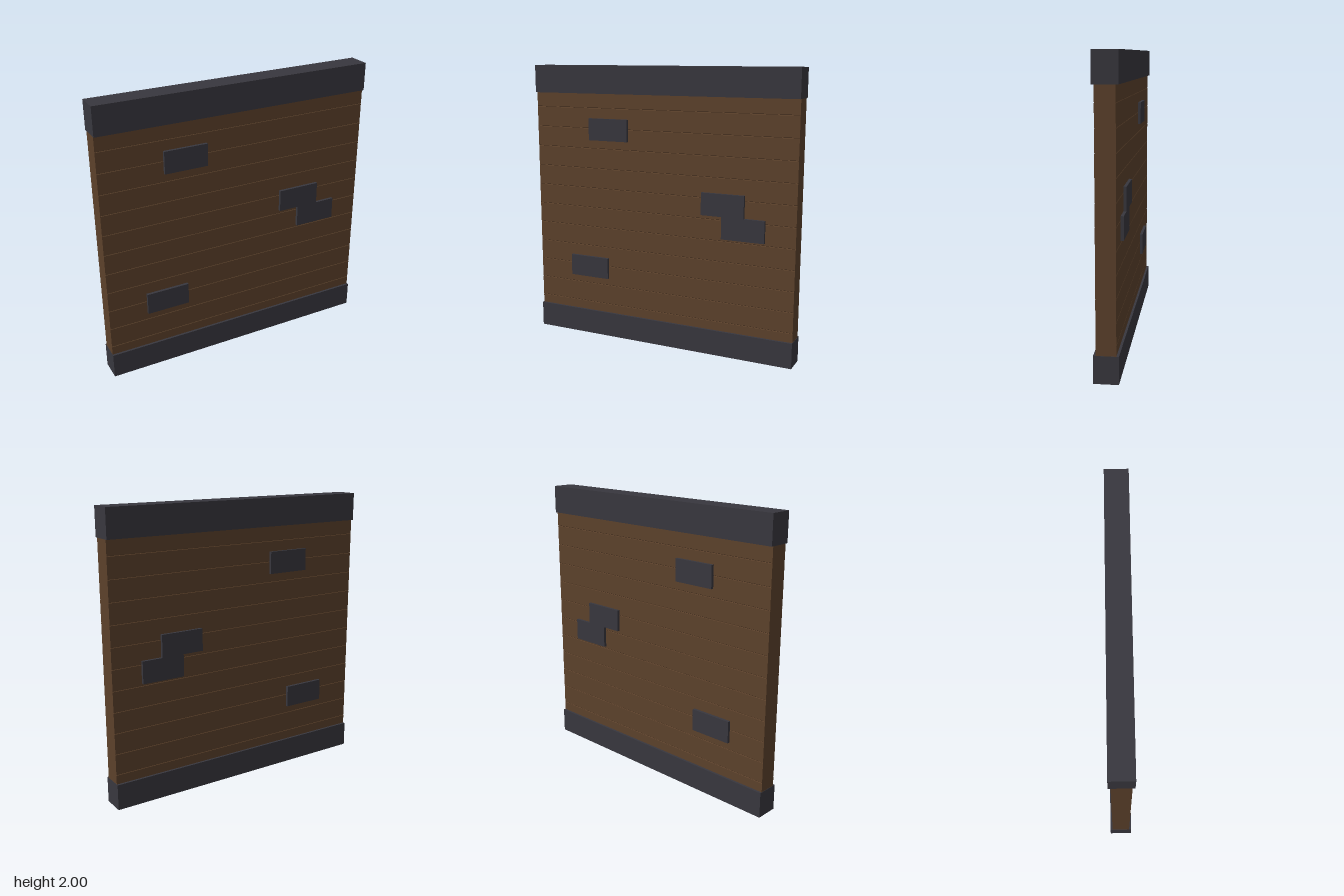
import * as THREE from 'three';

export function createModel() {
  const group = new THREE.Group();
  const wood = new THREE.MeshStandardMaterial({ color: 0x5c412b });
  wood.name = 'brown wood';
  const iron = new THREE.MeshStandardMaterial({ color: 0x38373e });
  iron.name = 'dark iron';

  function box(name, x0, x1, y0, y1, halfDepth, material) {
    const mesh = new THREE.Mesh(new THREE.BoxGeometry(x1 - x0, y1 - y0, halfDepth * 2), material);
    mesh.position.set((x0 + x1) / 2, (y0 + y1) / 2, 0);
    mesh.name = name;
    group.add(mesh);
  }

  // Iron beams along the top and bottom
  box('topBeam', -1, 1, 1.803, 2, 0.079, iron);
  box('bottomBeam', -1, 1, 0, 0.18, 0.079, iron);

  // Stacked planks with finely bevelled long edges, run along x
  const pitch = 0.1455, halfDepth = 0.063, bevel = 0.003, length = 1.996;
  for (let i = 0; i < 12; i++) {
    const y0 = Math.max(0.1 + i * pitch, 0.1);
    const y1 = y0 + pitch;
    const section = new THREE.Shape([
      [-halfDepth + bevel, y0], [halfDepth - bevel, y0],
      [halfDepth, y0 + bevel], [halfDepth, y1 - bevel],
      [halfDepth - bevel, y1], [-halfDepth + bevel, y1],
      [-halfDepth, y1 - bevel], [-halfDepth, y0 + bevel],
    ].map(([z, y]) => new THREE.Vector2(z, y)));
    const geometry = new THREE.ExtrudeGeometry(section, { depth: length, bevelEnabled: false });
    geometry.translate(0, 0, -length / 2);
    geometry.rotateY(Math.PI / 2);
    const plank = new THREE.Mesh(geometry, wood);
    plank.name = 'plank' + (i + 1);
    group.add(plank);
  }

  // Iron patches passing through to both faces
  [
    [-0.55, -0.24, 1.47, 1.627],
    [0.33, 0.64, 1.0, 1.157],
    [0.48, 0.787, 0.845, 1.0],
    [-0.72, -0.41, 0.445, 0.6],
  ].forEach(([x0, x1, y0, y1], i) => box('patch' + (i + 1), x0, x1, y0, y1, 0.083, iron));

  return group;
}
